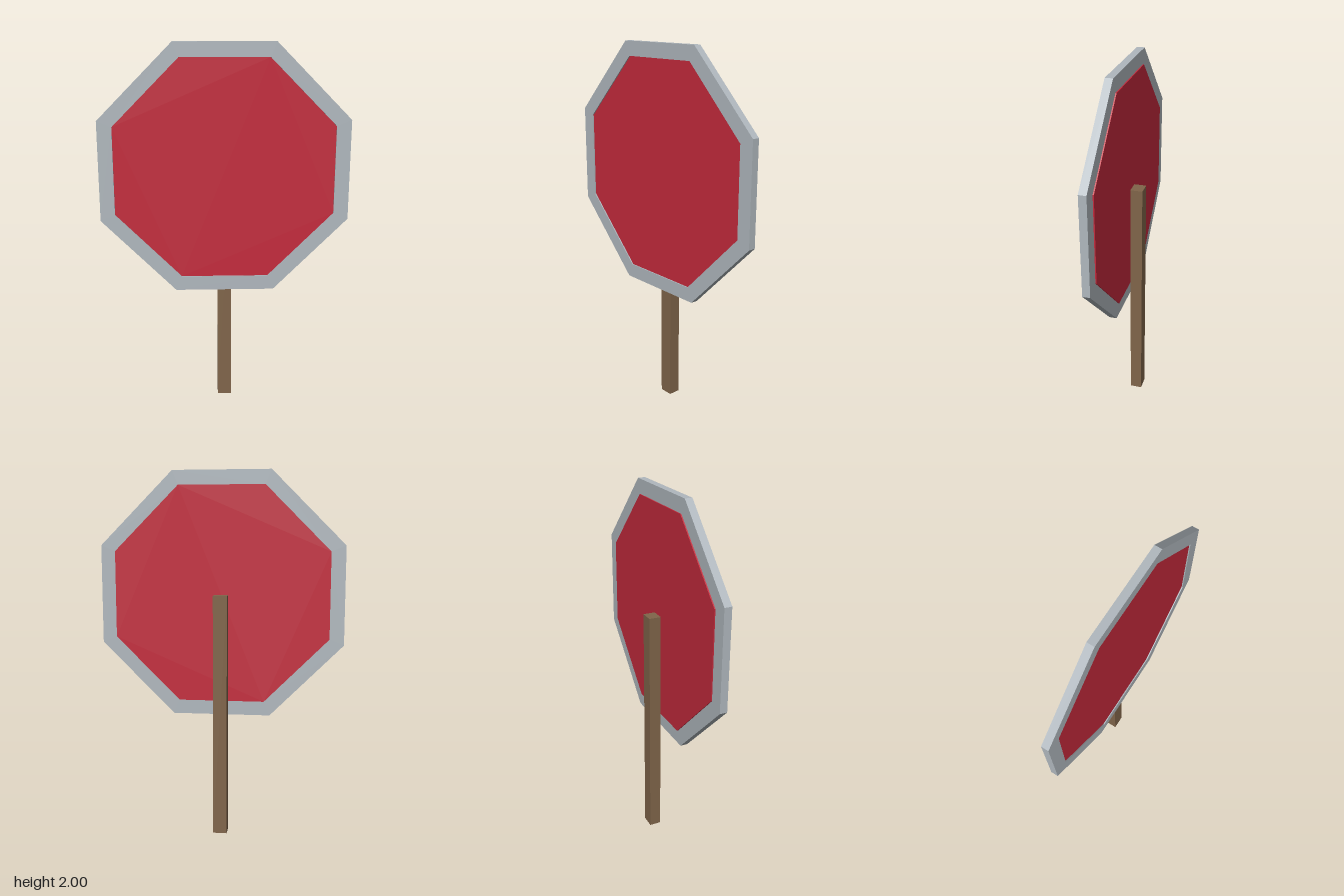
import * as THREE from 'three';

const CENTRE_Y = 1.333;

// Octagon outline from its half width and the half length of its flat sides
function octagon(PathType, w, s) {
  const corners = [[w, -s], [w, s], [s, w], [-s, w], [-w, s], [-w, -s], [-s, -w], [s, -w]];
  return new PathType(corners.map(([x, y]) => new THREE.Vector2(x, y)));
}

function addPart(group, name, geometry, color, x, y, z) {
  const material = new THREE.MeshStandardMaterial({ color });
  const mesh = new THREE.Mesh(geometry, material);
  mesh.name = name;
  mesh.position.set(x, y, z);
  group.add(mesh);
}

export function createModel() {
  const group = new THREE.Group();
  group.name = 'octagonalSign';
  const slab = { depth: 0.04, bevelEnabled: false };

  // Grey rim with an octagonal opening
  const rim = octagon(THREE.Shape, 0.665, 0.267);
  rim.holes.push(octagon(THREE.Path, 0.587, 0.235));
  addPart(group, 'rim', new THREE.ExtrudeGeometry(rim, slab), 0xb0b8be, 0, CENTRE_Y, 0.0185);

  // Red panel, sunk slightly at the front and standing proud at the back
  const panel = octagon(THREE.Shape, 0.587, 0.235);
  addPart(group, 'panel', new THREE.ExtrudeGeometry(panel, slab), 0xc42a3c, 0, CENTRE_Y, 0.0125);

  // Square wooden post, ending behind the middle of the panel
  const post = new THREE.BoxGeometry(0.076, CENTRE_Y, 0.065);
  addPart(group, 'post', post, 0x80654a, 0, CENTRE_Y / 2, -0.026);

  return group;
}
